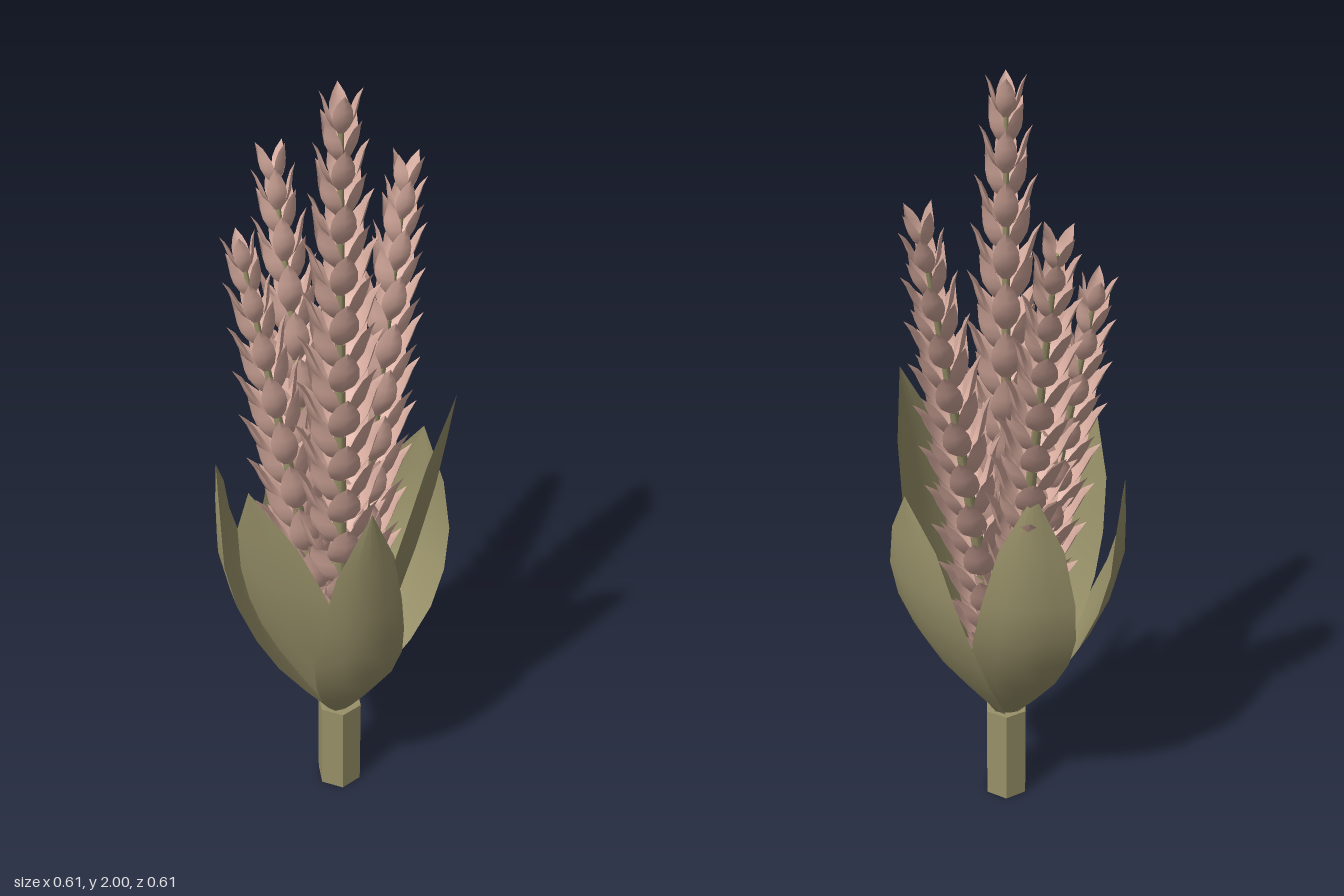
import * as THREE from 'three';
import { mergeGeometries } from 'three/addons/utils/BufferGeometryUtils.js';

const V = (x, y, z) => new THREE.Vector3(x, y, z);
const CX = 0.01, CZ = 0.095; // plant axis

const green = new THREE.MeshStandardMaterial({ color: 0x989169, side: THREE.DoubleSide });
green.name = 'olive green';
const pink = new THREE.MeshStandardMaterial({ color: 0xdaaea1, side: THREE.DoubleSide });
pink.name = 'dusty pink';

// Open smooth surface: point(u, v, row) with u in -1..1 across and v in 0..1 along
function sheet(cols, rows, point) {
  const pos = [], idx = [];
  for (let j = 0; j <= rows; j++) {
    for (let i = 0; i <= cols; i++) pos.push(...point((2 * i) / cols - 1, j / rows, j).toArray());
  }
  for (let j = 0; j < rows; j++) {
    for (let i = 0; i < cols; i++) {
      const a = j * (cols + 1) + i, b = a + 1, c = a + cols + 1, d = c + 1;
      idx.push(a, b, d, a, d, c);
    }
  }
  const g = new THREE.BufferGeometry();
  g.setAttribute('position', new THREE.Float32BufferAttribute(pos, 3));
  g.setIndex(idx);
  g.computeVertexNormals();
  return g;
}

// Broad, slightly cupped leaf; across is its width direction
const LEAF_WIDTH = [0.2, 0.52, 0.8, 0.97, 1, 0.9, 0.62, 0.002];
function leaf(mid, tip, across, halfWidth, bulge = 0.02) {
  const t = across.clone().normalize();
  const out = V(-t.z, 0, t.x);
  if (out.x * (mid.x - CX) + out.z * (mid.z - CZ) < 0) { out.negate(); t.negate(); }
  const base = V(CX, 0.27, CZ).addScaledVector(out, 0.03);
  const path = new THREE.CatmullRomCurve3([
    base,
    base.clone().lerp(mid, 0.55).addScaledVector(out, bulge).add(V(0, -0.03, 0)),
    mid, tip,
  ]);
  return sheet(4, 7, (u, v, j) => {
    const w = halfWidth * LEAF_WIDTH[j];
    return path.getPoint(v).addScaledVector(t, -u * w).addScaledVector(out, -u * u * w * 0.2);
  });
}

// Pointed scale growing up and outward from the spike axis (toward +z)
const SCALE_WIDTH = [0.3, 0.75, 1, 0.92, 0.58, 0.004];
const SCALE_REACH = [0.1, 0.48, 0.68, 0.78, 0.86, 1];
function scale(length, reach, halfWidth) {
  return sheet(2, 5, (u, v, j) => {
    const w = halfWidth * SCALE_WIDTH[j];
    return V(u * w, length * v, reach * SCALE_REACH[j] - u * u * w * 0.45);
  });
}

// Spike: slim core with alternating whorls of four scales, smaller toward the top
function spike(tip, girth) {
  const base = V(CX, 0.3, CZ - 0.005);
  const axis = tip.clone().sub(base);
  const len = axis.length();
  const group = new THREE.Group();
  group.position.copy(base);
  group.quaternion.setFromUnitVectors(V(0, 1, 0), axis.normalize());

  const core = new THREE.Mesh(new THREE.CylinderGeometry(0.006, 0.025, len - 0.06, 6), green);
  core.name = 'spikeCore';
  core.position.y = (len - 0.06) / 2;
  group.add(core);

  const parts = [];
  const count = Math.round((len - 0.2) / 0.062);
  for (let i = 0; i <= count; i++) {
    const f = i / count;
    const size = 1 - 0.48 * Math.pow(f, 2.2);
    const length = 0.185 * size;
    const y = 0.08 + f * (len - 0.08 - 0.0962);
    const reach = girth * (1 - 0.6 * Math.pow(f, 2.6));
    for (let k = 0; k < 4; k++) {
      const s = scale(length, reach, 0.042 * size * (girth / 0.115));
      s.rotateY(((k + (i % 2) / 2) * Math.PI) / 2);
      s.translate(0, y, 0);
      parts.push(s);
    }
  }
  const scales = new THREE.Mesh(mergeGeometries(parts), pink);
  scales.name = 'spikeScales';
  group.add(scales);
  return group;
}

export function createModel() {
  const model = new THREE.Group();
  model.name = 'flowerSpikes';

  // Hexagonal stem
  const stem = new THREE.Mesh(
    new THREE.CylinderGeometry(0.062, 0.062, 0.28, 6).toNonIndexed(), green);
  stem.geometry.computeVertexNormals();
  stem.name = 'stem';
  stem.position.set(CX, 0.14, CZ);
  model.add(stem);

  // Leaves: middle point, tip, width direction, half width, lower bulge
  const leaves = {
    leafFront: [V(0.045, 0.67, 0.285), V(0.06, 1.02, 0.255), V(0.92, 0, -0.4), 0.135, 0.035],
    leafFrontLeft: [V(0.222, 0.9, 0.125), V(0.275, 1.27, 0.155), V(-0.48, 0, 0.88), 0.138, 0],
    leafFrontRight: [V(-0.155, 0.76, 0.225), V(-0.228, 1.1, 0.23), V(0.78, 0, 0.62), 0.135, 0],
    leafRight: [V(-0.288, 0.78, 0.015), V(-0.285, 1.03, 0), V(-0.15, 0, 0.99), 0.14],
    leafBack: [V(-0.04, 0.71, -0.175), V(-0.055, 1.07, -0.155), V(1, 0, 0), 0.13],
    leafBackLeft: [V(0.24, 0.74, -0.085), V(0.258, 1.03, -0.085), V(0.64, 0, 0.77), 0.145],
  };
  for (const [name, args] of Object.entries(leaves)) {
    const mesh = new THREE.Mesh(leaf(...args), green);
    mesh.name = name;
    model.add(mesh);
  }

  // Four flower spikes
  const spikes = {
    spikeCentre: [V(0.01, 2, 0.09), 0.118],
    spikeBack: [V(-0.1, 1.75, -0.255), 0.114],
    spikeLeft: [V(0.205, 1.76, -0.125), 0.11],
    spikeRight: [V(-0.2, 1.6, -0.1), 0.106],
  };
  for (const [name, args] of Object.entries(spikes)) {
    const s = spike(...args);
    s.name = name;
    model.add(s);
  }
  return model;
}
